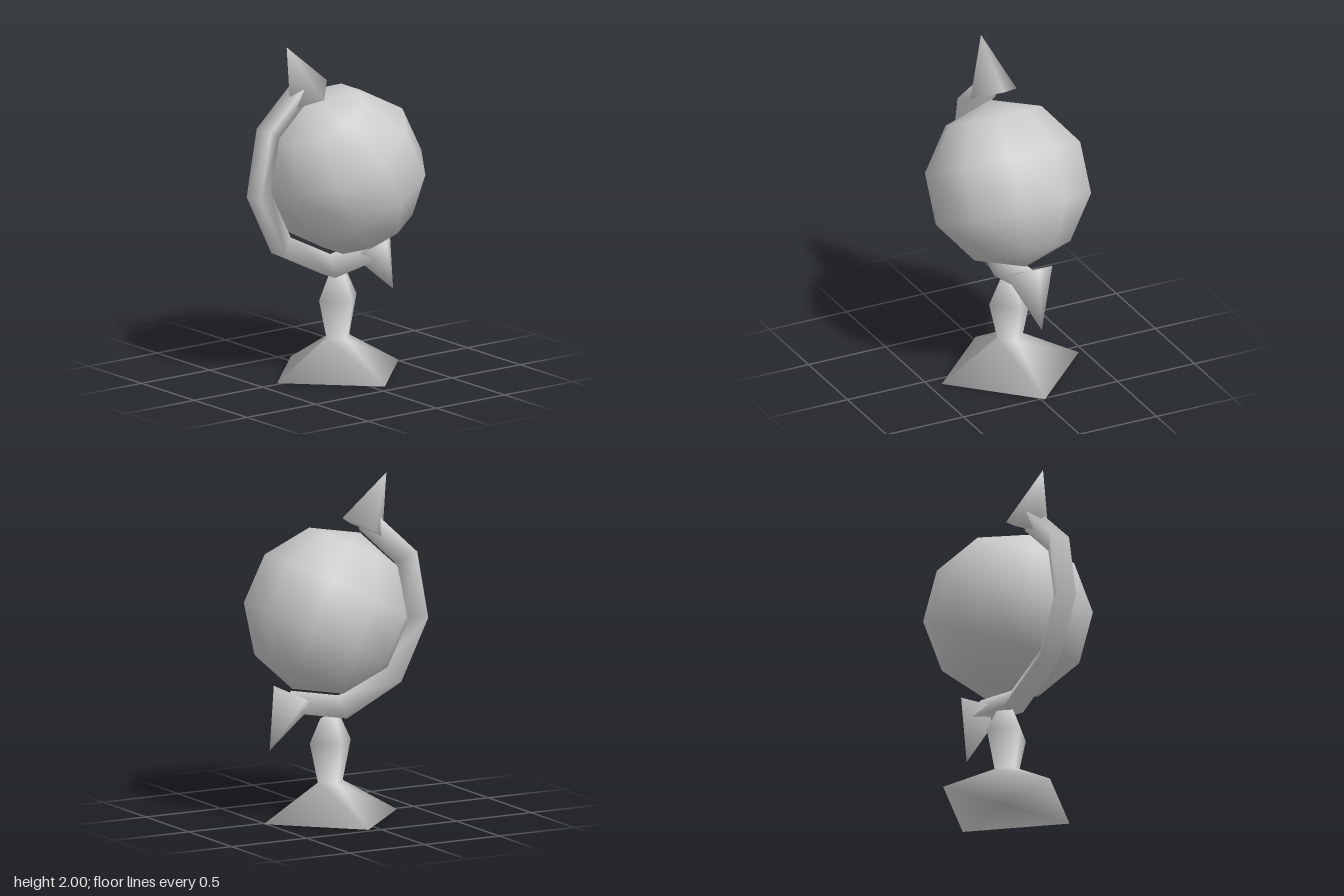
import * as THREE from 'three';
import { mergeVertices } from 'three/addons/utils/BufferGeometryUtils.js';

const CY = 1.215, CZ = -0.083, STAND_X = -0.022; // globe centre, stand offset
const TILT = THREE.MathUtils.degToRad(27.3);

// Weld a geometry and give it normals weighted by corner angle,
// so that shading runs evenly over every edge
function smooth(geometry) {
  geometry.deleteAttribute('normal');
  geometry.deleteAttribute('uv');
  const welded = mergeVertices(geometry, 1e-4);
  const position = welded.attributes.position;
  const index = welded.index;
  const corner = (i) => new THREE.Vector3().fromBufferAttribute(position, i);
  const normals = Array.from({ length: position.count }, () => new THREE.Vector3());
  for (let f = 0; f < index.count; f += 3) {
    const ids = [0, 1, 2].map((k) => index.getX(f + k));
    const pts = ids.map(corner);
    const face = new THREE.Triangle(...pts).getNormal(new THREE.Vector3());
    if (face.lengthSq() === 0) continue;
    ids.forEach((id, k) => {
      const toNext = pts[(k + 1) % 3].clone().sub(pts[k]);
      const toLast = pts[(k + 2) % 3].clone().sub(pts[k]);
      normals[id].addScaledVector(face, toNext.angleTo(toLast));
    });
  }
  const flat = normals.flatMap((n) => n.normalize().toArray());
  welded.setAttribute('normal', new THREE.Float32BufferAttribute(flat, 3));
  return welded;
}

// Three-sided bar bent into a six-point arc, flat side out, ridge towards the globe
function armGeometry() {
  const geometry = new THREE.CylinderGeometry(0.078, 0.078, 1, 3, 5);
  const p = geometry.attributes.position;
  for (let i = 0; i < p.count; i++) {
    const step = Math.round(p.getY(i) * 5 + 2.5);
    const a = THREE.MathUtils.degToRad(66 - 37 * step);
    const r = 0.594 - p.getZ(i) * 1.1;
    p.setXYZ(i, p.getX(i), r * Math.sin(a), r * Math.cos(a));
  }
  return geometry;
}

export function createModel() {
  const model = new THREE.Group();
  model.name = 'deskGlobe';
  const grey = new THREE.MeshStandardMaterial({ color: 0xcccccc });
  grey.name = 'lightGrey';

  const add = (name, geometry, x, y, z, parent = model) => {
    const mesh = new THREE.Mesh(smooth(geometry), grey);
    mesh.name = name;
    mesh.position.set(x, y, z);
    parent.add(mesh);
    return mesh;
  };

  // Globe and its two pointed caps share one tilted axis
  const tilted = new THREE.Group();
  tilted.name = 'tiltedAxis';
  tilted.position.set(0, CY, CZ);
  tilted.rotation.x = TILT;
  model.add(tilted);
  add('globe', new THREE.SphereGeometry(0.494, 10, 5), 0, 0, 0, tilted);
  for (const [name, side] of [['topCap', 1], ['bottomCap', -1]]) {
    const cap = add(name, new THREE.ConeGeometry(0.15, 0.35, 4), STAND_X, side * 0.7, side * -0.013, tilted);
    if (side < 0) cap.rotation.x = Math.PI;
  }

  // Curved arm holding the globe
  add('arm', armGeometry(), STAND_X, CY, CZ);

  // Four-sided base and post, corners on the axes
  const profile = [[0, 0], [0.445, 0], [0.083, 0.21], [0.137, 0.445], [0.068, 0.585], [0, 0.61]];
  const points = profile.map(([r, y]) => new THREE.Vector2(r, y));
  add('stand', new THREE.LatheGeometry(points, 4), STAND_X, 0, -0.068);

  return model;
}
